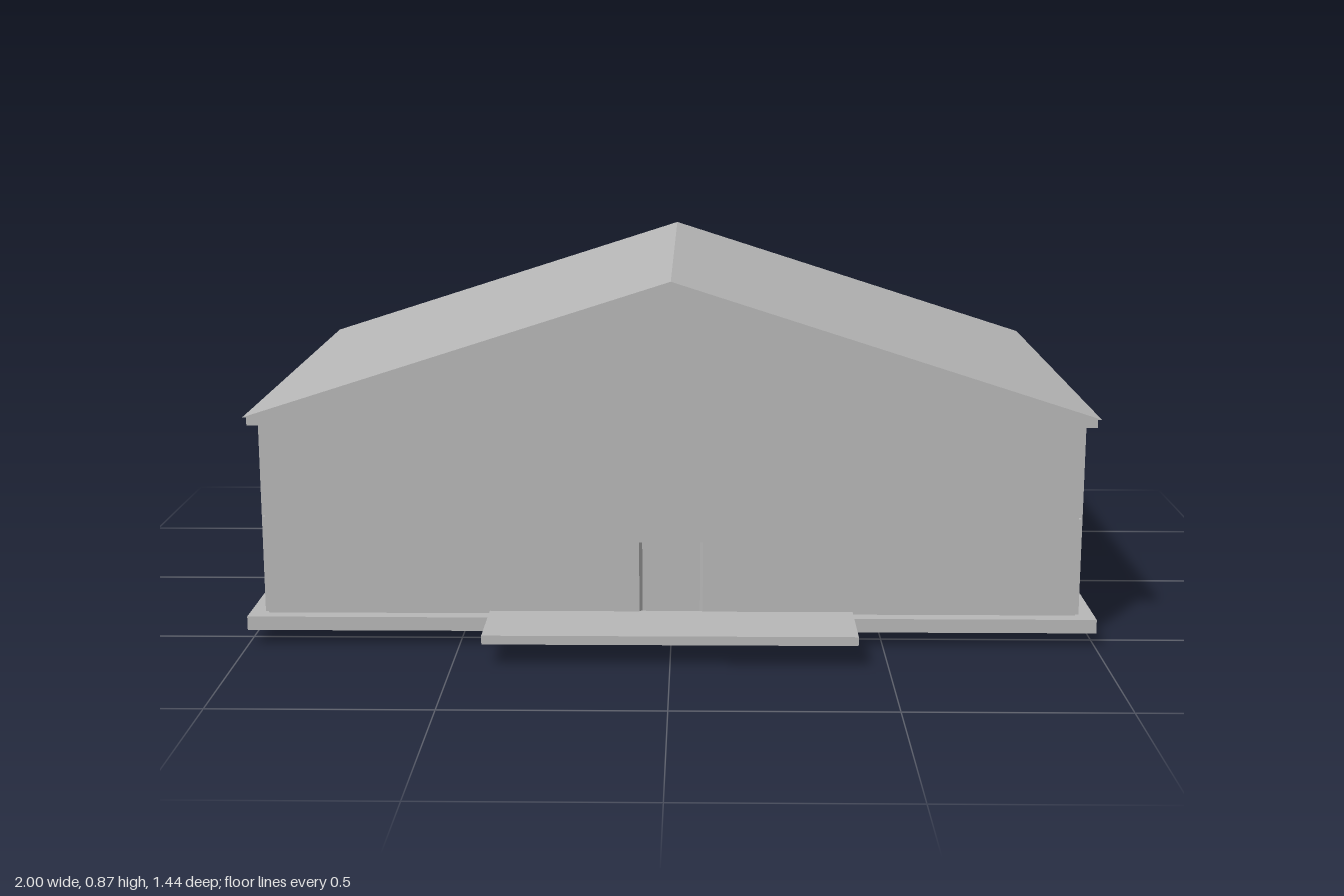
import * as THREE from 'three';

export function createModel() {
  const model = new THREE.Group();
  const grey = new THREE.MeshStandardMaterial({ color: 0xb8b8b8 });
  grey.name = 'plain grey';

  const add = (name, geometry) => {
    const mesh = new THREE.Mesh(geometry, grey);
    mesh.name = name;
    model.add(mesh);
    return mesh;
  };
  // Box given by its limits on each axis
  const box = (name, [x0, x1], [y0, y1], [z0, z1]) => {
    const g = new THREE.BoxGeometry(x1 - x0, y1 - y0, z1 - z0);
    g.translate((x0 + x1) / 2, (y0 + y1) / 2, (z0 + z1) / 2);
    return add(name, g);
  };
  // Straight prism over a flat outline
  const prism = (points, depth) => new THREE.ExtrudeGeometry(
    new THREE.Shape(points.map(([x, y]) => new THREE.Vector2(x, y))),
    { depth, bevelEnabled: false });

  const wallX = 0.955, front = 0.52, back = -0.676, skin = 0.01;
  const floor = 0.07, wallTop = 0.53, doorTop = 0.245;

  // Ground slab, porch and the shaft that runs down through the floor
  box('foundation', [-1, 1], [0.037, floor], [-0.717, 0.564]);
  box('porch', [-0.43, 0.43], [0.055, 0.076], [0.525, 0.72]);
  box('shaft', [-0.43, -0.335], [0, 0.55], [-0.245, -0.145]);

  // Wall core with an outer skin that leaves the corners notched
  box('wallCore', [-wallX, wallX], [floor, wallTop], [back, front]);
  box('backWall', [-wallX, wallX], [floor, wallTop], [back - skin, back]);
  box('frontWallUpper', [-wallX, wallX], [doorTop, wallTop], [front, front + skin]);

  for (const s of [-1, 1]) {
    const span = (a, b) => (s > 0 ? [a, b] : [-b, -a]);

    // Front wall beside the shallow door recess, with a splayed jamb
    const jamb = [[0.068, -front], [0.075, -front - skin], [wallX, -front - skin], [wallX, -front]]
      .map(([x, y]) => [s * x, y]);
    const g = prism(jamb, doorTop - floor);
    g.rotateX(-Math.PI / 2);
    g.translate(0, floor, 0);
    add('frontWallLower', g);

    // Side wall and its two shallow windows
    box('sideWall', span(wallX, wallX + skin), [floor, wallTop], [back, front]);
    for (const z of [0.17, -0.31]) {
      box('sideWindow', span(wallX + skin, wallX + skin + 0.005), [0.155, 0.247], [z - 0.07, z + 0.07]);
    }

    // Small joints halfway up the corner notches
    for (const z of [front, back - skin]) {
      box('cornerJoint', span(wallX, wallX + skin * 0.6), [0.295, 0.305], [z, z + skin]);
    }
  }

  // Eave slab and solid gable roof
  box('eaves', [-0.985, 0.985], [0.528, 0.549], [-0.705, 0.55]);
  const roof = prism([[-0.992, 0.549], [0.992, 0.549], [0, 0.867]], 1.27);
  roof.translate(0, 0, -0.71);
  add('roof', roof);

  return model;
}
